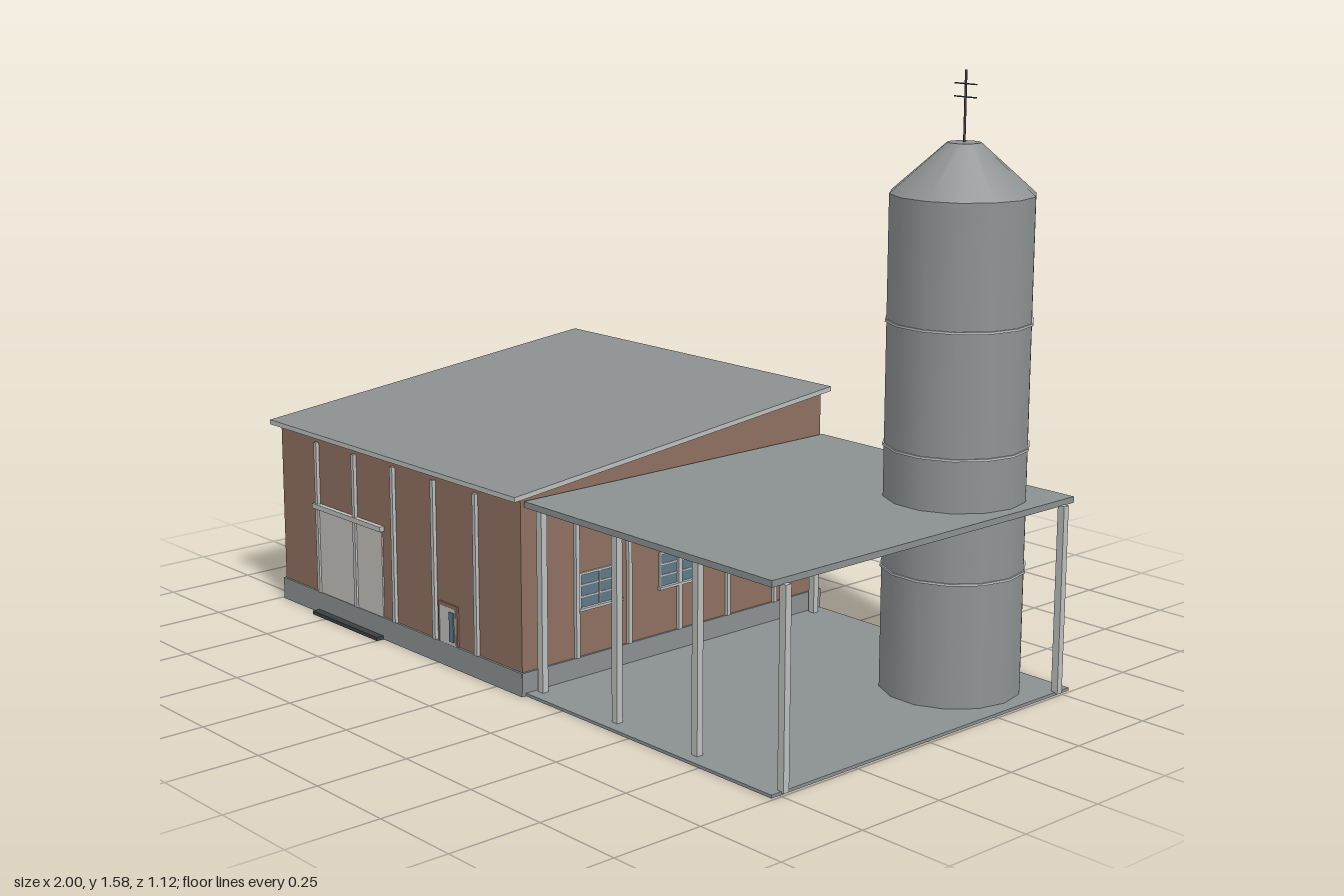
import * as THREE from 'three';

const mat = (name, color, side = THREE.FrontSide) => {
  const m = new THREE.MeshStandardMaterial({ color, side });
  m.name = name;
  return m;
};

export function createModel() {
  const brick = mat('brick', 0x8f7060);
  const roofGrey = mat('roof grey', 0x8b9090);
  const steel = mat('silo steel', 0x8f9393);
  const trim = mat('light trim', 0xbcbfbd);
  const panel = mat('door panel', 0xc4c1bc);
  const glass = mat('window glass', 0x5f7888);
  const dark = mat('dark metal', 0x3c4040);

  const model = new THREE.Group();
  model.name = 'workshopWithSilo';

  const add = (parent, name, geometry, material, x = 0, y = 0, z = 0) => {
    const mesh = new THREE.Mesh(geometry, material);
    mesh.name = name;
    mesh.position.set(x, y, z);
    parent.add(mesh);
    return mesh;
  };
  // Box given by its limits on each axis
  const box = (parent, name, material, x0, x1, y0, y1, z0, z1) =>
    add(parent, name, new THREE.BoxGeometry(x1 - x0, y1 - y0, z1 - z0), material,
      (x0 + x1) / 2, (y0 + y1) / 2, (z0 + z1) / 2);

  // Building measures; the roof rises towards the back
  const X0 = -0.985, X1 = 0.1, HZ = 0.532, SLOPE = 0.1036, MID = 0.573;
  const cx = (X0 + X1) / 2, W = X1 - X0;
  const low = MID - HZ * SLOPE, high = MID + HZ * SLOPE;

  // Window centred on x, outer wall face at z = 0
  const addWindow = (wall, x) => {
    const g = new THREE.Group();
    g.name = 'window';
    g.position.x = x;
    wall.add(g);
    box(g, 'glass', glass, -0.066, 0.066, 0.193, 0.283, -0.012, 0.002);
    for (const s of [-1, 1]) box(g, 'frameSide', trim, s * 0.067 - 0.003, s * 0.067 + 0.003, 0.19, 0.287, 0, 0.006);
    box(g, 'mullion', trim, -0.003, 0.003, 0.19, 0.287, 0, 0.005);
    for (const y of [0.222, 0.253]) box(g, 'glazingBar', trim, -0.066, 0.066, y - 0.002, y + 0.002, 0, 0.004);
    box(g, 'frameTop', trim, -0.07, 0.07, 0.281, 0.287, 0, 0.006);
    box(g, 'sill', trim, -0.075, 0.075, 0.186, 0.193, 0, 0.012);
  };

  // Wall with plinth, five pilasters and optional windows
  const addWall = (name, width, topLeft, topRight, x, z, turn, windows) => {
    const wall = new THREE.Group();
    wall.name = name;
    wall.position.set(x, 0, z);
    wall.rotation.y = turn;
    model.add(wall);
    const h = width / 2;
    const shape = new THREE.Shape([[-h, 0], [h, 0], [h, topRight], [-h, topLeft]].map(p => new THREE.Vector2(...p)));
    const geo = new THREE.ExtrudeGeometry(shape, { depth: 0.01, bevelEnabled: false });
    geo.translate(0, 0, -0.01);
    add(wall, 'brickwork', geo, brick);
    box(wall, 'plinth', roofGrey, -h - 0.005, h + 0.005, 0, 0.062, 0, 0.006);
    for (let i = 1; i < 6; i++) {
      const px = -h + width * i / 6;
      box(wall, 'pilaster', trim, px - 0.006, px + 0.006, 0.062, 0.495, 0, 0.01);
    }
    if (windows) for (const s of [-1, 0, 1]) addWindow(wall, s * width * 0.26);
    return wall;
  };
  const front = addWall('frontWall', W, low, low, cx, HZ, 0, false);
  addWall('backWall', W, high, high, cx, -HZ, Math.PI, true);
  addWall('leftWall', 2 * HZ, low, high, X1, 0, Math.PI / 2, true);
  addWall('rightWall', 2 * HZ, high, low, X0, 0, -Math.PI / 2, true);

  // Loading gate with lintel and ramp
  const f = x => x - cx;
  box(front, 'gate', panel, f(-0.81), f(-0.5), 0, 0.308, -0.012, 0.004);
  box(front, 'gateLintel', trim, f(-0.82), f(-0.493), 0.305, 0.319, 0, 0.014);
  box(front, 'ramp', dark, f(-0.81), f(-0.5), 0, 0.01, 0.006, 0.028);

  // Small entrance door
  box(front, 'doorFrame', brick, f(-0.246), f(-0.164), 0.062, 0.172, 0, 0.005);
  box(front, 'door', panel, f(-0.238), f(-0.172), 0, 0.163, -0.012, 0.0056);
  box(front, 'doorGlass', glass, f(-0.196), f(-0.177), 0.072, 0.152, 0.003, 0.009);

  // Sloping roof, a sheared slab with light edges
  const roofGeo = new THREE.BoxGeometry(1.113, 0.013, 1.12);
  const p = roofGeo.attributes.position;
  for (let i = 0; i < p.count; i++) p.setY(i, p.getY(i) - p.getZ(i) * SLOPE);
  roofGeo.computeVertexNormals();
  add(model, 'roof', roofGeo, [trim, trim, roofGrey, roofGrey, trim, trim], -0.4435, MID + 0.0068, 0);

  // Open canopy on posts over a floor slab
  box(model, 'floorSlab', roofGrey, 0.106, 0.992, 0, 0.008, -0.535, 0.525);
  box(model, 'canopy', roofGrey, 0.106, 0.986, 0.495, 0.511, -0.535, 0.525);
  for (const z of [-0.49, 0.485])
    for (let i = 0; i < 4; i++) {
      const x = 0.125 + i * 0.288;
      box(model, 'canopyPost', trim, x - 0.01, x + 0.01, 0.004, 0.497, z - 0.009, z + 0.009);
    }

  // Silo with conical top and hoops
  const silo = new THREE.Group();
  silo.name = 'silo';
  silo.position.set(0.775, 0, -0.325);
  model.add(silo);
  const R = 0.182, N = 14;
  const drum = (name, top, bottom, y0, y1, material, open) => {
    const m = add(silo, name, new THREE.CylinderGeometry(top, bottom, y1 - y0, N, 1, open), material, 0, (y0 + y1) / 2, 0);
    m.rotation.y = Math.PI / 2;
  };
  drum('siloBody', R, R, 0.003, 1.275, steel, false);
  drum('siloCone', 0.042, R, 1.275, 1.4, steel, false);
  for (const y of [0.33, 0.645, 0.96]) drum('hoop', R + 0.004, R + 0.004, y - 0.003, y + 0.003, trim, false);

  // Antenna
  add(silo, 'antennaMast', new THREE.CylinderGeometry(0.003, 0.003, 0.178, 8), dark, 0, 1.487, 0);
  for (const y of [1.51, 1.542])
    add(silo, 'antennaBar', new THREE.BoxGeometry(0.07, 0.003, 0.003), dark, 0, y, 0);

  return model;
}
